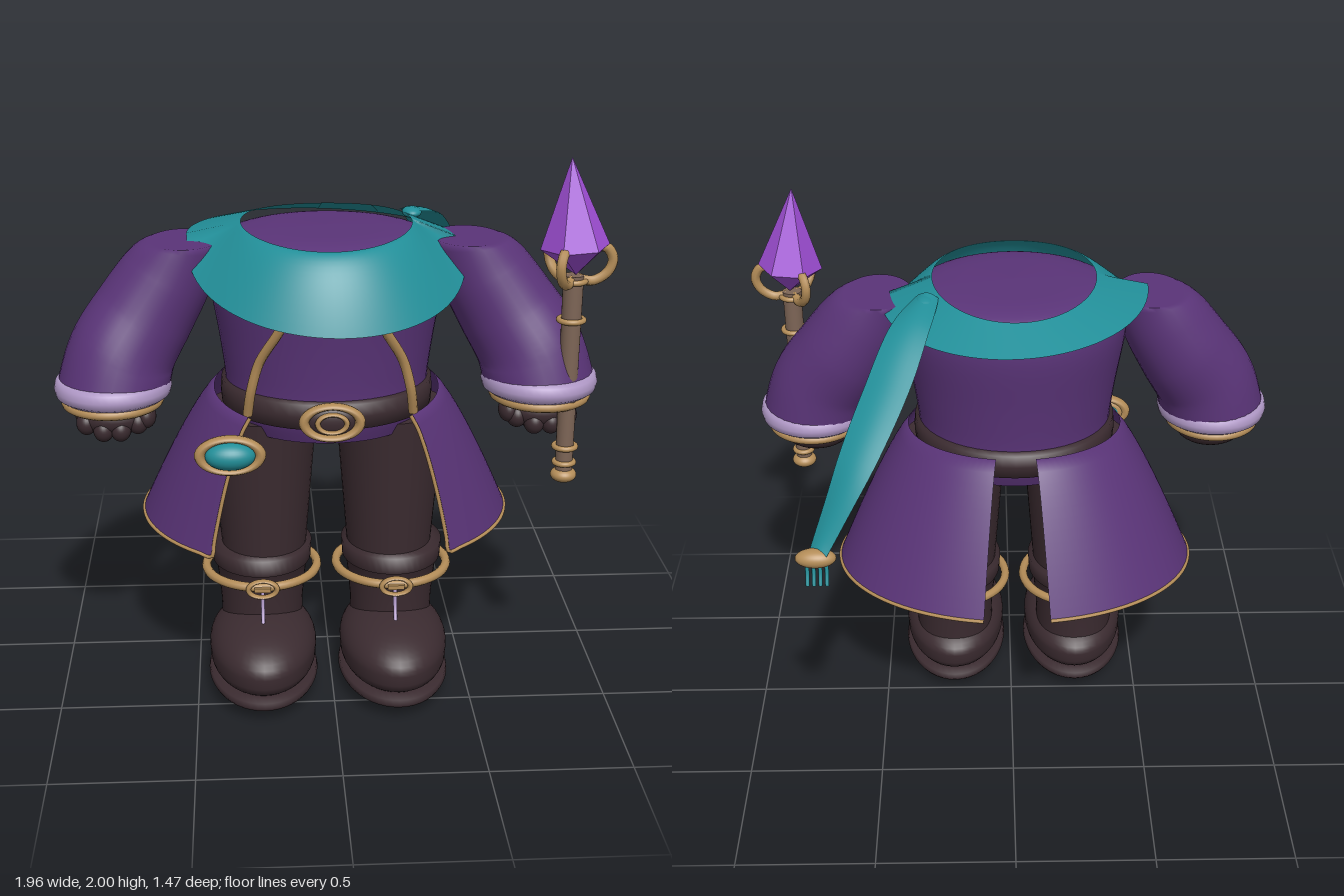
import * as THREE from 'three';
import { ParametricGeometry } from 'three/addons/geometries/ParametricGeometry.js';

const paint = (name, color, side = THREE.FrontSide) => {
  const m = new THREE.MeshStandardMaterial({ color, side });
  m.name = name;
  return m;
};
const V = (x, y, z) => new THREE.Vector3(x, y, z);

export function createModel() {
  const purple = paint('purple cloth', 0x5a3478, THREE.DoubleSide);
  const teal = paint('teal cloth', 0x228f99, THREE.DoubleSide);
  const dark = paint('dark leather', 0x3b2b30);
  const gold = paint('gold', 0xb48d58);
  const lavender = paint('lavender trim', 0xb49ccb);
  const violet = paint('violet crystal', 0xa04fd6);
  violet.flatShading = true;
  const wood = paint('brown shaft', 0x7d6556);

  const root = new THREE.Group();
  root.name = 'robedAdventurer';
  const body = new THREE.Group();
  body.name = 'body';
  body.position.x = -0.015;
  root.add(body);

  const add = (name, geo, mat, pos = [0, 0, 0], scale = [1, 1, 1], parent = body) => {
    const m = new THREE.Mesh(geo, mat);
    m.name = name;
    m.position.set(...pos);
    m.scale.set(...scale);
    parent.add(m);
    return m;
  };
  const sphere = new THREE.SphereGeometry(1, 32, 20);
  const lathe = (pts, seg = 48) =>
    new THREE.LatheGeometry(pts.map(p => new THREE.Vector2(...p)), seg);
  const tube = (pts, r, seg = 24) =>
    new THREE.TubeGeometry(new THREE.CatmullRomCurve3(pts), seg, r, 8);
  const surface = (f, a, b) => new ParametricGeometry((u, v, t) => t.copy(f(u, v)), a, b);
  const flatRing = (R, r) => new THREE.TorusGeometry(R, r, 10, 48).rotateX(Math.PI / 2);

  // Torso with a closed hem and a domed top
  const torsoCurve = new THREE.SplineCurve([[0.33, 1.02], [0.36, 1.1], [0.365, 1.2], [0.385, 1.35],
    [0.415, 1.54], [0.407, 1.64], [0.37, 1.69], [0.3, 1.715], [0.2, 1.724]].map(p => new THREE.Vector2(...p)));
  add('torso', lathe([[0, 1.02], [0.33, 1.02], ...torsoCurve.getPoints(32).map(p => [p.x, p.y]), [0, 1.727]]),
    purple, [0, 0, 0.2], [1, 1, 0.9]);

  // Belt with oval buckle
  add('belt', lathe([[0.345, 1.085], [0.378, 1.09], [0.382, 1.135], [0.378, 1.18], [0.345, 1.185]]),
    dark, [0, 0, 0.2], [1, 1, 0.945]);
  const ring = new THREE.TorusGeometry(1, 0.19, 10, 40);
  add('buckleFrame', ring, gold, [0, 1.13, 0.585], [0.096, 0.058, 0.13]);
  add('buckleBack', sphere, dark, [0, 1.13, 0.57], [0.09, 0.055, 0.03]);
  add('buckleCentre', ring, gold, [0, 1.13, 0.6], [0.05, 0.033, 0.08]);

  // Medallion hung from the belt
  add('medallionFrame', ring, gold, [-0.35, 0.995, 0.53], [0.105, 0.061, 0.13]);
  add('medallionBack', sphere, gold, [-0.35, 0.995, 0.52], [0.1, 0.058, 0.02]);
  add('medallionGem', sphere, teal, [-0.35, 0.995, 0.535], [0.088, 0.05, 0.055]);

  // Coat skirt: u runs round the panel and v down it
  const skirtPoint = (s, u, v) => {
    const front = THREE.MathUtils.lerp(0.76, 0.67, v), back = Math.PI - 0.18;
    const a = front + (back - front) * u, c = Math.cos(a);
    const flare = Math.pow(v, 0.8);
    return V(s * Math.sin(a) * (0.405 + 0.275 * flare),
      THREE.MathUtils.lerp(1.14 - 0.04 * c, 0.625 - 0.033 * c, v),
      0.2 - 0.12 * flare + c * (0.378 + 0.162 * flare));
  };
  for (const s of [-1, 1]) {
    const side = s > 0 ? 'left' : 'right';
    add(side + 'SkirtPanel', surface((u, v) => skirtPoint(s, u, v), 40, 14), purple);
    const edge = [];
    for (let i = 0; i <= 10; i++) edge.push(skirtPoint(s, 0, i / 10));
    for (let i = 1; i <= 24; i++) edge.push(skirtPoint(s, i / 24, 1));
    add(side + 'SkirtTrim', tube(edge, 0.007, 100), gold);

    // Chest cord
    add(side + 'ChestCord', tube([V(s * 0.14, 1.54, 0.61), V(s * 0.18, 1.45, 0.58), V(s * 0.245, 1.33, 0.53),
      V(s * 0.275, 1.22, 0.515), V(s * 0.287, 1.13, 0.49)], 0.017), gold);
  }

  // Collar: open mantle, drooping at the front and tilted slightly to one side
  const collarPoint = (u, v) => {
    const a = u * Math.PI * 2, c = Math.cos(a), x = Math.sin(a);
    const inner = 1.742 - 0.02 * c * c;
    const outer = 1.685 - 0.018 * x + (c > 0 ? -0.21 * Math.pow(c, 0.6) : 0.022 * c);
    return V(x * (0.3 + 0.19 * v),
      inner + (outer - inner) * Math.pow(v, c > 0 ? 1 + 0.7 * c : 1),
      0.2 + c * (0.365 + 0.165 * v));
  };
  add('collar', surface(collarPoint, 96, 12), teal);

  // Trailing scarf end with bead and tassels
  const scarfPath = new THREE.CatmullRomCurve3([V(0.31, 1.735, 0.03), V(0.37, 1.69, -0.14),
    V(0.445, 1.56, -0.34), V(0.555, 1.37, -0.56), V(0.675, 1.13, -0.7)]);
  add('scarfTail', surface((u, v) => {
    const p = scarfPath.getPoint(v), t = scarfPath.getTangent(v);
    const across = V(-t.z, 0, t.x).normalize();
    const width = 0.03 + 0.135 * Math.pow(Math.sin(Math.PI * Math.min(1, v * 0.88 + 0.06)), 0.6);
    p.addScaledVector(across, (u - 0.5) * width);
    p.y += 0.015 * Math.sin(u * Math.PI);
    return p;
  }, 8, 30), teal);
  add('scarfKnot', sphere, teal, [0.32, 1.725, 0.01], [0.035, 0.02, 0.05]);
  add('scarfBead', sphere, gold, [0.685, 1.11, -0.7], [0.07, 0.033, 0.039]);
  for (let i = 0; i < 4; i++) {
    const x = 0.65 + i * 0.022;
    add('scarfTassel', tube([V(x, 1.1, -0.695), V(x, 1.05, -0.705), V(x, 1.01, -0.72)], 0.007, 6), teal);
  }

  // Arms: flat-topped flared sleeve, cuff, bracelet and closed hand
  for (const s of [-1, 1]) {
    const arm = new THREE.Group();
    arm.name = s > 0 ? 'leftArm' : 'rightArm';
    body.add(arm);
    const path = new THREE.CatmullRomCurve3([V(s * 0.5, 1.68, 0.195), V(s * 0.56, 1.56, 0.2),
      V(s * 0.64, 1.43, 0.215), V(s * 0.725, 1.29, 0.25), V(s * 0.762, 1.17, 0.268)]);
    add('sleeve', surface((u, v) => {
      const p = path.getPoint(v), t = path.getTangent(v);
      // Rings lie level at both ends and square to the arm between
      const n = V(-t.y, t.x, 0).normalize().lerp(V(1, 0, 0), Math.pow(Math.abs(2 * v - 1), 3)).normalize();
      const a = u * Math.PI * 2;
      p.addScaledVector(n, (0.125 + 0.075 * Math.pow(v, 0.5)) * Math.cos(a));
      p.z += (0.158 + 0.052 * v) * Math.sin(a);
      return p;
    }, 32, 28), purple, [0, 0, 0], [1, 1, 1], arm);
    add('shoulderTop', new THREE.CircleGeometry(1, 32).rotateX(-Math.PI / 2), purple,
      [s * 0.5, 1.68, 0.195], [0.125, 1, 0.158], arm);
    add('cuff', lathe([[0, -0.038], [0.185, -0.038], [0.203, -0.025], [0.209, 0],
      [0.203, 0.025], [0.19, 0.038], [0, 0.038]]), lavender, [s * 0.762, 1.172, 0.268], [1, 1, 1.05], arm);
    add('bracelet', flatRing(0.165, 0.018), gold, [s * 0.765, 1.12, 0.27], [1, 1, 1.1], arm);
    add('hand', sphere, dark, [s * 0.765, 1.07, 0.285], [0.135, 0.075, 0.115], arm);
    for (let i = 0; i < 4; i++)
      add('finger', sphere, dark, [s * 0.765 + (i - 1.5) * 0.06, 1.04 + (i % 3 ? -0.005 : 0.015),
        i % 3 ? 0.36 : 0.34], [0.037, 0.043, 0.045], arm);
    add('thumb', sphere, dark, [s * 0.645, 1.075, 0.33], [0.035, 0.045, 0.05], arm);
  }

  // Legs: trousers, boot shaft, strap, foot and sole
  const foot = new THREE.SphereGeometry(1, 40, 24);
  const fp = foot.attributes.position;
  for (let i = 0; i < fp.count; i++) {
    const y = fp.getY(i), z = fp.getZ(i);
    // Flatten the underside and lower the heel
    fp.setY(i, y < 0 ? -Math.pow(-y, 0.6) : y * (z < -0.3 ? 1 + (z + 0.3) * 0.3 : 1));
  }
  foot.computeVertexNormals();
  for (const s of [-1, 1]) {
    const leg = new THREE.Group();
    leg.name = s > 0 ? 'leftLeg' : 'rightLeg';
    leg.position.set(s * 0.243, 0, 0.2);
    body.add(leg);
    const at = (name, geo, mat, pos, scale) => add(name, geo, mat, pos, scale, leg);
    at('trouser', new THREE.CylinderGeometry(0.2, 0.155, 0.56, 40).translate(-s * 0.01, 0.78, 0),
      dark, [0, 0, 0], [1, 1, 1.13]);
    at('bootShaft', lathe([[0.15, 0.18], [0.153, 0.3], [0.162, 0.4], [0.17, 0.46], [0.183, 0.467],
      [0.187, 0.53], [0.145, 0.535]]), dark, [0, 0, 0], [1, 1, 1.14]);
    at('bootStrap', flatRing(0.207, 0.017), gold, [0, 0.43, 0.002], [1, 1, 1.02]);
    at('bootBuckle', ring, gold, [0, 0.43, 0.23], [0.052, 0.032, 0.08]);
    at('bootBuckleBar', new THREE.BoxGeometry(0.06, 0.016, 0.014), gold, [0, 0.43, 0.235]);
    at('bootLace', tube([V(0, 0.4, 0.195), V(0, 0.34, 0.205), V(0, 0.28, 0.235)], 0.007, 8), lavender);
    at('foot', foot, dark, [0, 0.175, 0.115], [0.198, 0.127, 0.334]);
    at('sole', lathe([[0, 0], [0.35, 0.012], [0.8, 0.032], [0.97, 0.048], [1, 0.06], [0.98, 0.078], [0.85, 0.085], [0, 0.085]]),
      dark, [0, 0.003, 0.115], [0.203, 1, 0.337]);
  }

  // Staff with a clawed crystal
  const staff = new THREE.Group();
  staff.name = 'staff';
  staff.position.set(0.825, 0, 0.41);
  root.add(staff);
  const on = (name, geo, mat, y) => add(name, geo, mat, [0, y, 0], [1, 1, 1], staff);
  on('staffShaft', new THREE.CylinderGeometry(0.036, 0.03, 0.74, 24), wood, 1.22);
  add('staffPommel', sphere, gold, [0, 0.852, 0], [0.047, 0.028, 0.047], staff);
  for (const [y, r] of [[0.9, 0.034], [0.96, 0.038], [1.165, 0.042], [1.43, 0.043], [1.57, 0.042]])
    on('staffRing', flatRing(r, 0.01), gold, y);
  for (let i = 0; i < 3; i++) {
    const claw = on('claw', tube([V(0.02, 1.575, 0), V(0.07, 1.57, 0), V(0.118, 1.6, 0),
      V(0.134, 1.645, 0), V(0.112, 1.685, 0), V(0.075, 1.69, 0)], 0.018), gold, 0);
    claw.rotation.y = i * Math.PI * 2 / 3;
  }
  const crystal = new THREE.Group();
  crystal.name = 'crystal';
  crystal.position.set(0, 1.69, 0);
  crystal.rotation.z = 0.08;
  staff.add(crystal);
  add('crystalPoint', new THREE.ConeGeometry(0.12, 0.31, 6, 1, true).rotateY(Math.PI / 6), violet,
    [0, 0.155, 0], [1, 1, 1], crystal);
  add('crystalBase', new THREE.ConeGeometry(0.12, 0.1, 6, 1, true).rotateX(Math.PI).rotateY(Math.PI / 6), violet,
    [0, -0.05, 0], [1, 1, 1], crystal);
  return root;
}
